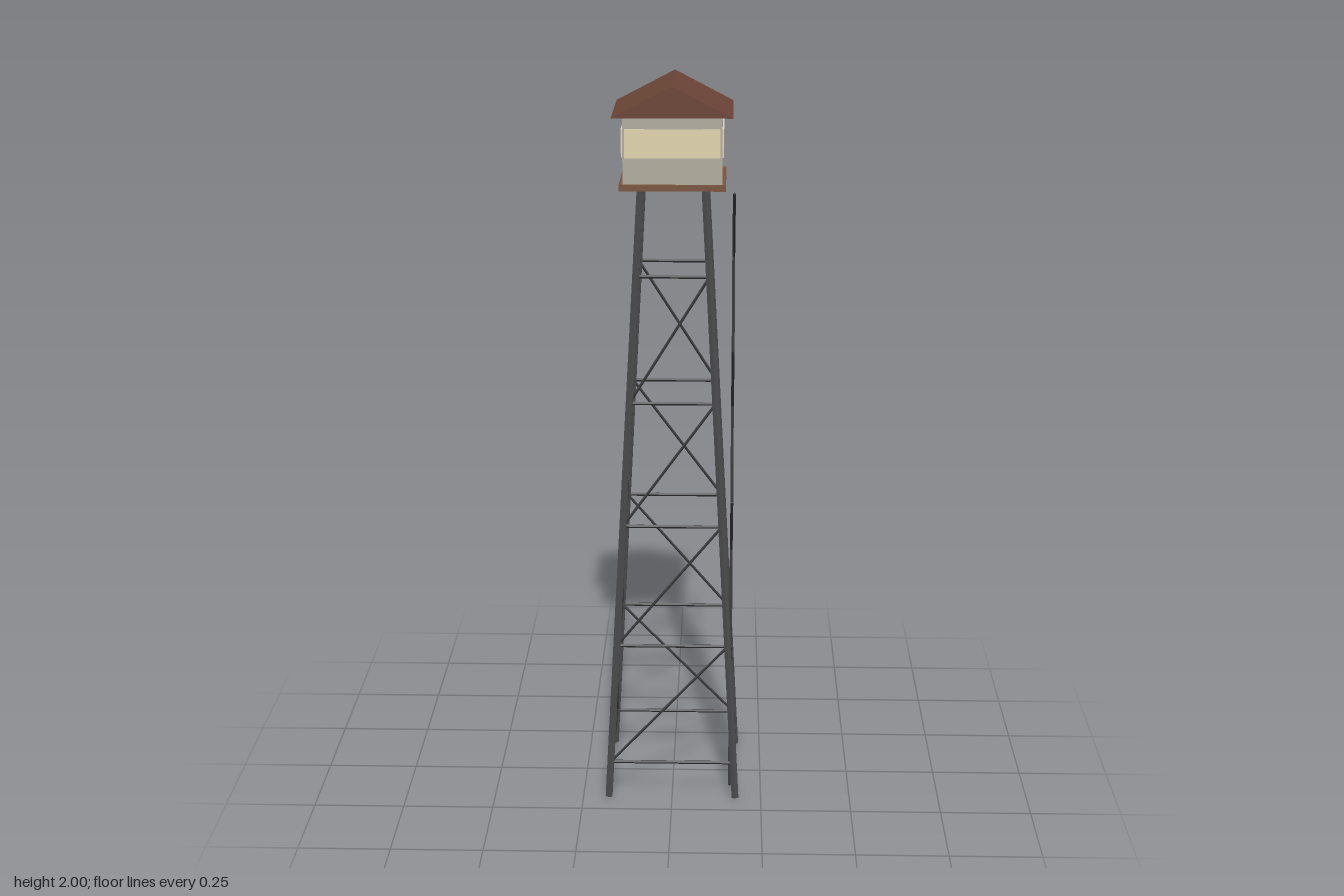
import * as THREE from 'three';

const mat = (color, flatShading = true) => new THREE.MeshStandardMaterial({ color, flatShading });
const steel = mat(0x4a4a4a), brace = mat(0x383838), wood = mat(0x7a5540);
const wall = mat(0xb0ac9e), glass = mat(0xe0d2ac), roofing = mat(0x6b4536);

const UP = new THREE.Vector3(0, 1, 0);
const CORNERS = [[-1, 1], [1, 1], [1, -1], [-1, -1]];

// Straight rod between two points
function rod(name, a, b, radius, sides, material) {
  const dir = b.clone().sub(a);
  const mesh = new THREE.Mesh(new THREE.CylinderGeometry(radius, radius, dir.length(), sides), material);
  mesh.name = name;
  mesh.position.copy(a).add(b).multiplyScalar(0.5);
  mesh.quaternion.setFromUnitVectors(UP, dir.normalize());
  return mesh;
}

function box(name, w, h, d, x, y, z, material) {
  const mesh = new THREE.Mesh(new THREE.BoxGeometry(w, h, d), material);
  mesh.name = name;
  mesh.position.set(x, y, z);
  return mesh;
}

// Point on the centre line of a leg at a given height
function legPoint(corner, y) {
  const [sx, sz] = CORNERS[corner % 4];
  const r = THREE.MathUtils.lerp(0.178, 0.085, y / 1.728);
  return new THREE.Vector3(sx * r, y, sz * r);
}

function buildFrame() {
  const frame = new THREE.Group();
  frame.name = 'frame';
  const levels = [0, 1, 2, 3, 4].map((i) => 0.108 + i * 0.345);
  for (let c = 0; c < 4; c++) {
    frame.add(rod('leg', legPoint(c, 0.004), legPoint(c, 1.728), 0.011, 6, steel));
    levels.forEach((y, i) => {
      frame.add(rod('girt', legPoint(c, y), legPoint(c + 1, y), 0.005, 5, brace));
      // One diagonal per bay, winding around the tower
      if (i < 4) frame.add(rod('diagonalBrace', legPoint(c, y), legPoint(c + 1, levels[i + 1]), 0.004, 5, brace));
    });
  }
  return frame;
}

// Zigzag flights on the left (+x) side
function buildStairs() {
  const stairs = new THREE.Group();
  stairs.name = 'stairs';
  const point = (i) => new THREE.Vector3(0.162, 0.003 + i * 0.2138, i % 2 ? -0.102 : 0.102);
  for (let i = 0; i < 8; i++) stairs.add(rod('stairFlight', point(i), point(i + 1), 0.004, 4, brace));
  return stairs;
}

function buildCabin() {
  const cabin = new THREE.Group();
  cabin.name = 'cabin';
  cabin.add(box('platform', 0.28, 0.016, 0.28, 0, 1.733, 0, wood));
  cabin.add(box('walls', 0.26, 0.18, 0.26, 0, 1.83, 0, wall));

  // Window band on each wall
  for (let i = 0; i < 4; i++) {
    const side = new THREE.Group();
    side.name = 'windowSide';
    side.rotation.y = i * Math.PI / 2;
    side.add(box('window', 0.25, 0.075, 0.008, 0, 1.848, 0.13, glass));
    cabin.add(side);
  }

  // Gable roof with its ridge along z
  const shape = new THREE.Shape();
  shape.moveTo(-0.158, 0);
  shape.lineTo(0.158, 0);
  shape.lineTo(0, 0.082);
  shape.closePath();
  const geometry = new THREE.ExtrudeGeometry(shape, { depth: 0.316, bevelEnabled: false });
  const roof = new THREE.Mesh(geometry, roofing);
  roof.name = 'roof';
  roof.position.set(0, 1.918, -0.158);
  cabin.add(roof);
  return cabin;
}

export function createModel() {
  const model = new THREE.Group();
  model.name = 'lookoutTower';
  model.add(buildFrame(), buildStairs(), buildCabin());
  return model;
}
